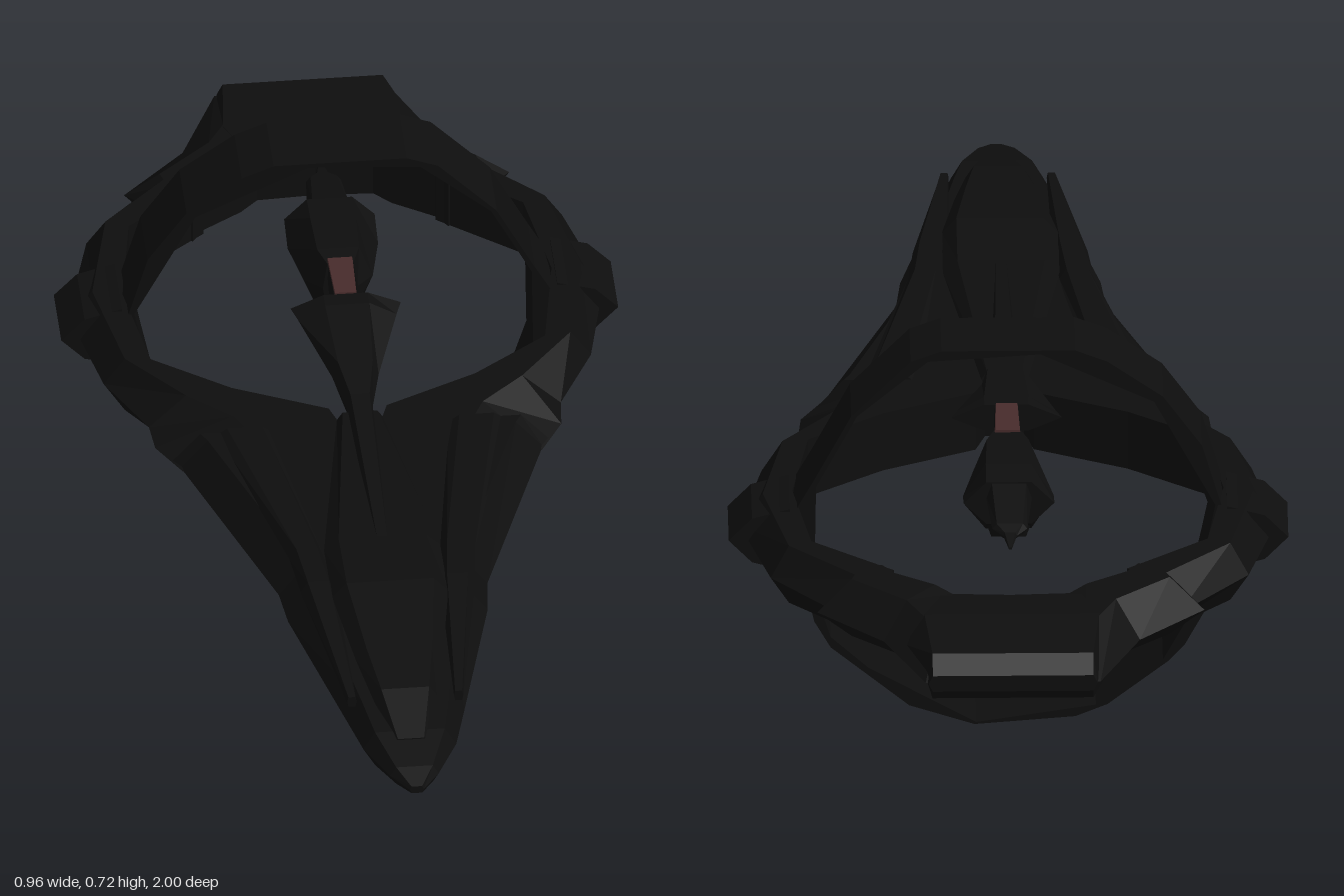
import * as THREE from 'three';

const hullMat = new THREE.MeshStandardMaterial({ color: 0x0e0e0e, flatShading: true, side: THREE.DoubleSide });
hullMat.name = 'blackHull';
const redMat = new THREE.MeshStandardMaterial({ color: 0x482c2c, flatShading: true, side: THREE.DoubleSide });
redMat.name = 'dullRed';

// Skin a row of closed cross-sections, with flat caps at both ends
function loft(sections) {
  const n = sections[0].length, pos = sections.flat(2), idx = [];
  for (let s = 0; s < sections.length - 1; s++) {
    for (let i = 0; i < n; i++) {
      const a = s * n + i, b = s * n + (i + 1) % n;
      idx.push(a, a + n, b + n, a, b + n, b);
    }
  }
  const e = (sections.length - 1) * n;
  for (let i = 1; i < n - 1; i++) idx.push(0, i, i + 1, e, e + i + 1, e + i);
  const g = new THREE.BufferGeometry();
  g.setAttribute('position', new THREE.Float32BufferAttribute(pos, 3));
  g.setIndex(idx);
  g.computeVertexNormals();
  return g;
}

// Six-sided section across the ship; k is the width of the flats
function hex(z, w, top, bot, k = 0.75, cx = 0) {
  const m = (top + bot) / 2;
  return [[w, m], [k * w, top], [-k * w, top], [-w, m], [-k * w, bot], [k * w, bot]]
    .map(([x, y]) => [x + cx, y, z]);
}

// Section between an outer and an inner plan point, pointed on the outside
function rim([xo, zo, xi, zi, top = 0.42, bot = 0.31]) {
  const t = 0.45, xm = xo + (xi - xo) * t, zm = zo + (zi - zo) * t;
  const m = (top + bot) / 2;
  return [[xo, m, zo], [xm, top, zm], [xi, top, zi], [xi, bot, zi], [xm, bot, zm]];
}

const mirror = (sections) => sections.map((s) => s.map(([x, y, z]) => [-x, y, z]).reverse());

export function createModel() {
  const root = new THREE.Group();
  const add = (name, geo, mat = hullMat) => {
    const mesh = new THREE.Mesh(geo, mat);
    mesh.name = name;
    root.add(mesh);
    return mesh;
  };
  const addPair = (name, sections) => {
    add(name + 'Left', loft(sections));
    add(name + 'Right', loft(mirror(sections)));
  };
  const hexes = (rows) => rows.map((r) => hex(...r));

  // Wedge-shaped forward hull
  add('forwardHull', loft(hexes([
    [1, 0.012, 0.372, 0.358], [0.96, 0.042, 0.385, 0.35], [0.88, 0.08, 0.402, 0.332],
    [0.8, 0.1, 0.41, 0.325], [0.5, 0.172, 0.42, 0.305], [0.42, 0.18, 0.42, 0.3],
    [0.05, 0.312, 0.42, 0.31, 0.85], [0.03, 0.325, 0.42, 0.31, 0.85],
  ])));

  // Raised upper deck and its side ridges
  add('upperDeck', loft(hexes([
    [0.9, 0.03, 0.4, 0.38], [0.8, 0.055, 0.433, 0.39], [0.7, 0.075, 0.445, 0.4],
    [0.54, 0.1, 0.468, 0.41], [0.4, 0.1, 0.458, 0.41], [0.02, 0.04, 0.44, 0.41],
  ])));
  addPair('deckRidge', hexes([
    [0.8, 0.008, 0.42, 0.4, 0.75, 0.092], [0.5, 0.03, 0.445, 0.4, 0.6, 0.12],
    [0.4, 0.03, 0.442, 0.4, 0.6, 0.13], [0.03, 0.05, 0.428, 0.4, 0.6, 0.2],
  ]));

  // Keel with a red panel
  add('keel', loft(hexes([
    [0.86, 0.03, 0.36, 0.328], [0.75, 0.045, 0.36, 0.312], [0.42, 0.06, 0.36, 0.292],
    [0.3, 0.055, 0.36, 0.29], [0.05, 0.03, 0.36, 0.308],
  ])));
  add('keelPanel', loft(hexes([
    [0.75, 0.032, 0.314, 0.309, 0.95], [0.42, 0.042, 0.294, 0.289, 0.95],
  ])), redMat);

  // Horizontal ring, joined to the shoulders of the hull
  addPair('horizontalRing', [
    [0.31, 0.06, 0.03, 0.04], [0.35, -0.01, 0.05, -0.02], [0.355, -0.07, 0.21, -0.095],
    [0.42, -0.2, 0.34, -0.19], [0.462, -0.4, 0.37, -0.38],
    [0.41, -0.6, 0.34, -0.57], [0.29, -0.74, 0.2, -0.68],
  ].map(rim));

  // Stern block closing the ring
  addPair('stern', [
    [0.295, -0.695, 0.22, -0.66], [0.332, -0.73, 0.2, -0.69], [0.22, -0.84, 0.13, -0.735],
    [0.15, -0.995, 0.1, -0.755, 0.412, 0.318], [0, -1, 0, -0.76, 0.412, 0.318],
  ].map(rim));
  add('sternPlate', loft(hexes([
    [-0.77, 0.16, 0.417, 0.314], [-0.84, 0.2, 0.417, 0.314], [-0.97, 0.15, 0.408, 0.322, 0.92],
    [-1, 0.145, 0.38, 0.35, 0.95],
  ])));

  // Clamps where the two rings cross
  const clampEnd = (z) => [[0.48, 0.365], [0.44, 0.407], [0.375, 0.425], [0.375, 0.305], [0.44, 0.323]]
    .map(([x, y]) => [x, y, z]);
  addPair('ringClamp', [clampEnd(-0.33), clampEnd(-0.46)]);

  // Upright ring: a thin, uneven ribbon
  const outer = [[0.115, 0.72], [0.168, 0.7], [0.27, 0.595], [0.335, 0.47], [0.368, 0.41], [0.355, 0.3],
    [0.333, 0.2], [0.305, 0.15], [0.17, 0.037], [0.058, 0], [-0.115, 0.014], [-0.17, 0.037], [-0.275, 0.12],
    [-0.302, 0.15], [-0.355, 0.25], [-0.375, 0.33], [-0.368, 0.41], [-0.332, 0.535], [-0.265, 0.63],
    [-0.17, 0.698], [-0.115, 0.72]];
  const inner = [[-0.055, 0.713], [0.138, 0.7], [0.26, 0.595], [0.33, 0.46], [0.333, 0.26], [0.305, 0.17],
    [0.24, 0.11], [0.055, 0.004], [-0.15, 0.036], [-0.265, 0.122], [-0.312, 0.21], [-0.333, 0.31],
    [-0.355, 0.42], [-0.25, 0.62]];
  const ribbon = new THREE.Shape(outer.map((p) => new THREE.Vector2(...p)));
  ribbon.holes.push(new THREE.Path(inner.map((p) => new THREE.Vector2(...p))));
  const ribbonGeo = new THREE.ExtrudeGeometry(ribbon, { depth: 0.125, bevelEnabled: false });
  ribbonGeo.translate(0, 0, -0.445);
  add('uprightRing', ribbonGeo);

  // Dorsal spine flaring backwards over the opening
  add('spine', loft(hexes([
    [0.4, 0.012, 0.458, 0.43], [0.02, 0.022, 0.478, 0.42], [-0.06, 0.04, 0.488, 0.425],
    [-0.2, 0.085, 0.505, 0.45, 0.45], [-0.23, 0.095, 0.505, 0.455, 0.4],
  ])));

  // Command tower on the end of the spine
  add('towerNeck', loft(hexes([
    [-0.22, 0.022, 0.503, 0.455, 0.9], [-0.34, 0.022, 0.503, 0.44, 0.9],
  ])));
  add('towerRoofPanel', loft(hexes([
    [-0.23, 0.019, 0.508, 0.502, 0.95], [-0.33, 0.022, 0.508, 0.502, 0.95],
  ])), redMat);
  add('tower', loft(hexes([
    [-0.32, 0.03, 0.503, 0.4], [-0.36, 0.06, 0.505, 0.38, 0.6],
    [-0.45, 0.078, 0.505, 0.38, 0.5], [-0.51, 0.078, 0.5, 0.42, 0.5],
  ])));
  add('towerTail', loft(hexes([
    [-0.5, 0.04, 0.5, 0.44], [-0.61, 0.03, 0.472, 0.452], [-0.63, 0.012, 0.465, 0.453],
    [-0.67, 0.003, 0.457, 0.453],
  ])));
  add('towerChin', loft(hexes([
    [-0.34, 0.03, 0.44, 0.36], [-0.48, 0.04, 0.44, 0.38], [-0.54, 0.01, 0.425, 0.412],
  ])));

  return root;
}
